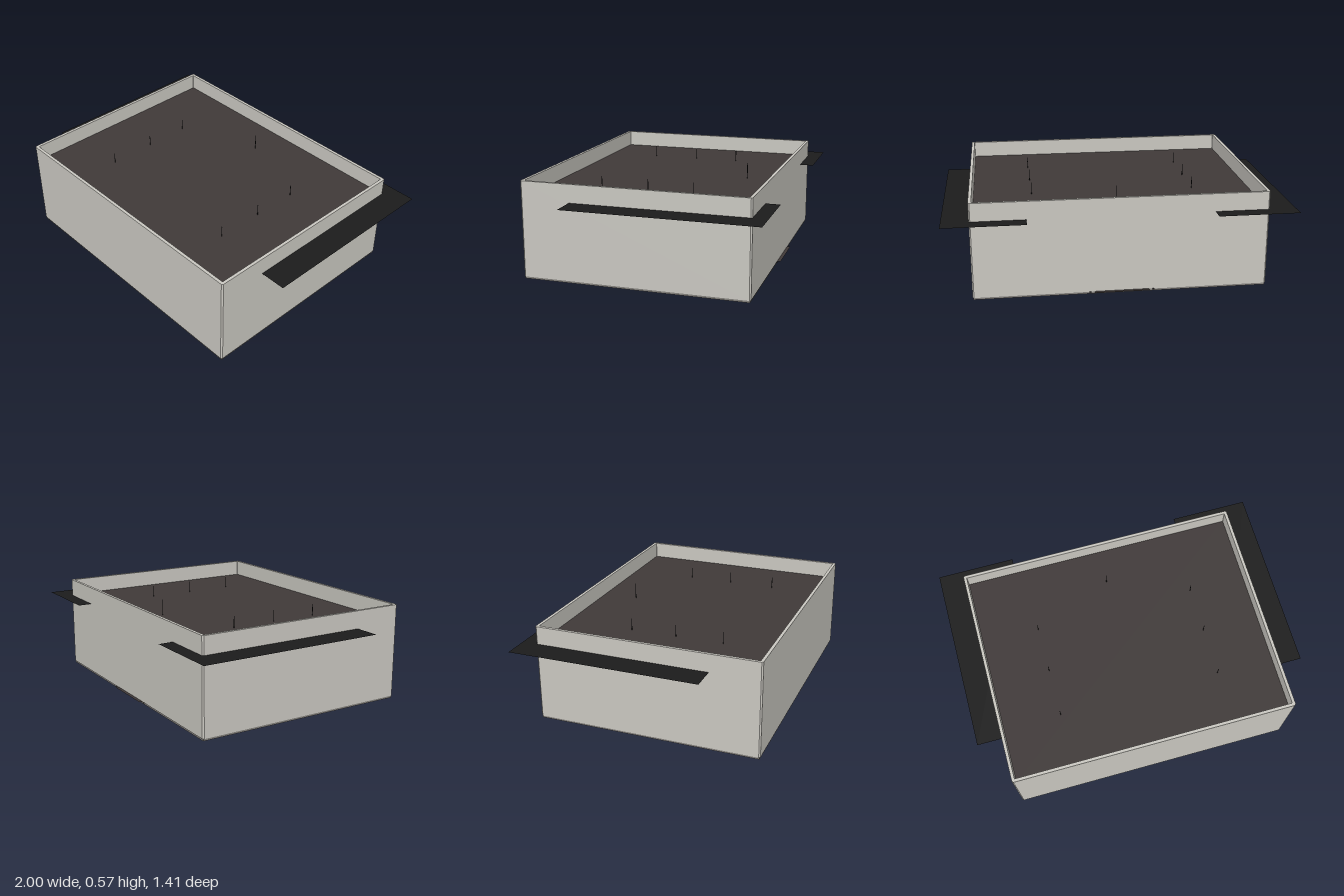
import * as THREE from 'three';

const mat = (name, color, side = THREE.FrontSide) => {
  const m = new THREE.MeshStandardMaterial({ color, side });
  m.name = name;
  return m;
};

// rectangle with small chamfered corners
function outline(Type, hw, hd, c) {
  return new Type([
    [-hw + c, -hd], [hw - c, -hd], [hw, -hd + c], [hw, hd - c],
    [hw - c, hd], [-hw + c, hd], [-hw, hd - c], [-hw, -hd + c],
  ].map(([x, y]) => new THREE.Vector2(x, y)));
}

export function createModel() {
  const group = new THREE.Group();
  const wallMat = mat('light warm grey wall', 0xcac8c1);
  const baseMat = mat('mid grey base', 0x827f7b);
  const floorMat = mat('dark brown floor', 0x403a39, THREE.DoubleSide);
  const plateMat = mat('black plate', 0x1c1c1c, THREE.DoubleSide);

  const zMid = 0.0425, hw = 0.847, hd = 0.6625;
  const add = (name, geo, material, x, y, z) => {
    const mesh = new THREE.Mesh(geo, material);
    mesh.name = name;
    mesh.position.set(x, y, z);
    group.add(mesh);
  };
  const flat = (w, d) => new THREE.PlaneGeometry(w, d).rotateX(-Math.PI / 2);

  // hollow wall frame with chamfered vertical edges
  const frame = outline(THREE.Shape, hw, hd, 0.008);
  frame.holes.push(outline(THREE.Path, hw - 0.018, hd - 0.018, 0.001));
  const walls = new THREE.ExtrudeGeometry(frame, { depth: 0.56, bevelEnabled: false });
  walls.rotateX(-Math.PI / 2);
  add('walls', walls, wallMat, 0, 0.013, zMid);

  // slightly inset base and the raised inner floor
  add('base', new THREE.BoxGeometry(1.684, 0.014, 1.315), baseMat, 0, 0.007, zMid);
  add('innerFloor', new THREE.BoxGeometry(1.665, 0.01, 1.3), floorMat, 0, 0.47, zMid);

  // paper-thin side plates passing through the walls
  for (const s of [-1, 1])
    add(s > 0 ? 'leftPlate' : 'rightPlate', flat(0.468, 1.116), plateMat, s * 0.766, 0.467, -0.147);

  // thin upright rods on the floor
  const rod = (name, x, z, h) =>
    add(name, new THREE.CylinderGeometry(0.002, 0.002, h, 6), plateMat, x, 0.475 + h / 2, z);
  for (const x of [-0.485, 0.485])
    for (const z of [-0.195, 0.08, 0.365]) rod('sideRod', x, z, 0.07);
  rod('rearRod', 0, -0.39, 0.095);

  // thin tab with two small pins at the bottom of the rear wall
  add('rearTab', flat(0.315, 0.025), floorMat, 0, 0.015, -0.6275);
  for (const s of [-1, 1])
    add('rearPin', flat(0.01, 0.012), floorMat, s * 0.182, 0.015, -0.625);
  return group;
}
